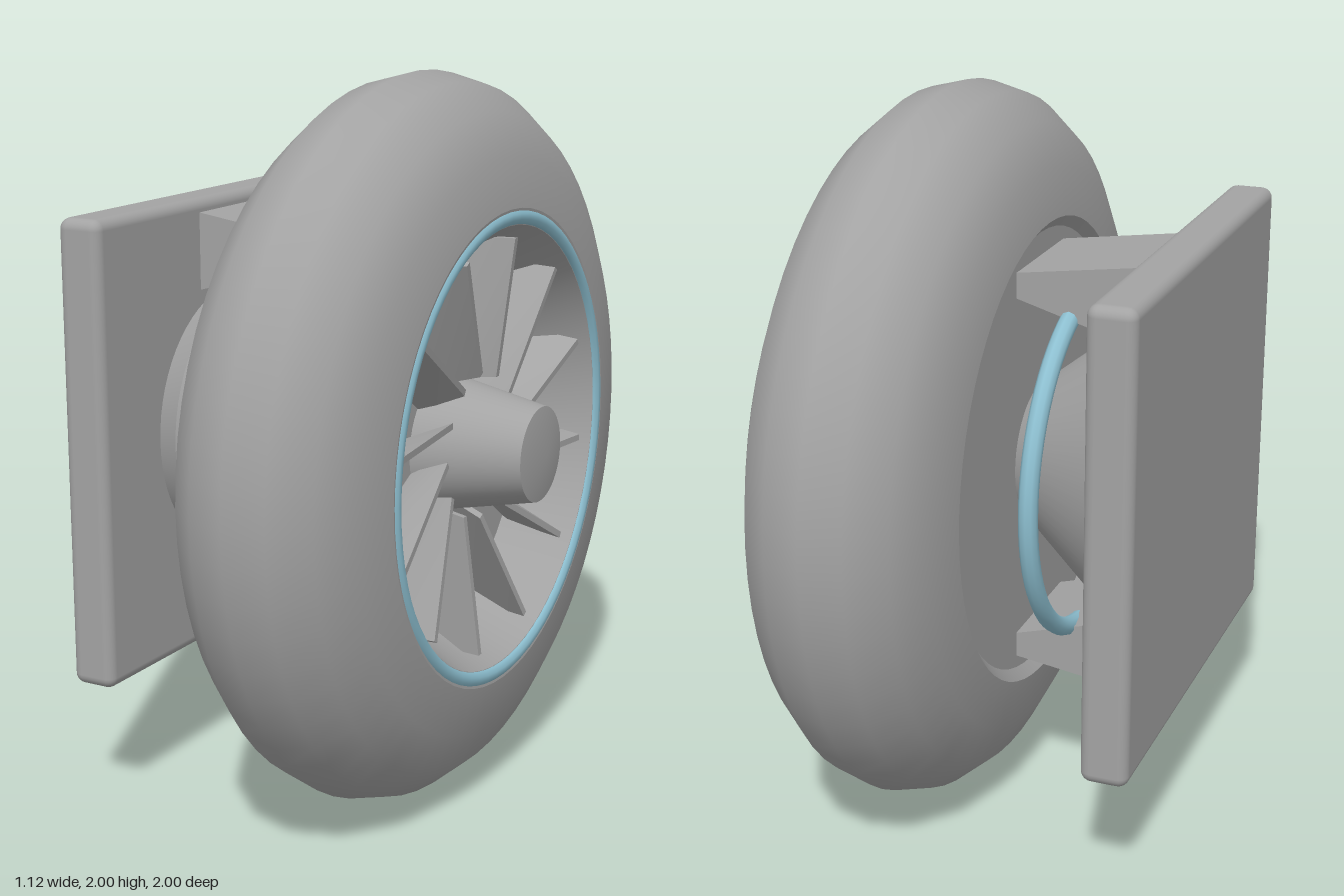
import * as THREE from 'three';
import { toCreasedNormals } from 'three/addons/utils/BufferGeometryUtils.js';
import { RoundedBoxGeometry } from 'three/addons/geometries/RoundedBoxGeometry.js';

export function createModel() {
  const model = new THREE.Group();
  const grey = new THREE.MeshStandardMaterial({ color: 0xa3a3a3 });
  grey.name = 'grey';
  const blue = new THREE.MeshStandardMaterial({ color: 0x8dbfd0 });
  blue.name = 'lightBlue';

  // everything is laid out around the axle, which runs along x
  const wheel = new THREE.Group();
  wheel.name = 'wheelAssembly';
  wheel.position.y = 1;
  model.add(wheel);

  const add = (name, geometry, material = grey) => {
    const mesh = new THREE.Mesh(geometry, material);
    mesh.name = name;
    wheel.add(mesh);
    return mesh;
  };
  // turned part: profile of [x along axle, radius], from back to front
  const turned = (name, profile, segments = 64) => {
    const g = new THREE.LatheGeometry(profile.map(([x, r]) => new THREE.Vector2(r, x)), segments);
    g.rotateZ(-Math.PI / 2);
    return add(name, toCreasedNormals(g, 0.6));
  };
  const ring = (name, x, radius, tube) => {
    const g = new THREE.TorusGeometry(radius, tube, 10, 72);
    g.rotateY(Math.PI / 2);
    g.translate(x, 0, 0);
    return add(name, g, blue);
  };

  // tyre: half-elliptical section
  const section = [];
  for (let i = 0; i <= 8; i++) {
    const a = (i / 8) * Math.PI;
    section.push([0.163 - 0.275 * Math.cos(a), 0.65 + 0.35 * Math.sin(a)]);
  }
  turned('tyre', section);

  // rim: closed back and dished front
  turned('rimBack', [[-0.085, 0], [-0.085, 0.62], [-0.112, 0.65]]);
  turned('rimDish', [[0.438, 0.65], [0.43, 0.605], [0.24, 0.51], [0.24, 0]]);
  ring('frontTrimRing', 0.42, 0.627, 0.024);

  // hub nose
  turned('hub', [[0.23, 0.193], [0.535, 0.13], [0.555, 0]], 48);

  // twelve slanted blades, each wider towards the rim
  const blades = 12;
  for (let k = 0; k < blades; k++) {
    const g = new THREE.BoxGeometry(1, 1, 1);
    const p = g.attributes.position;
    for (let i = 0; i < p.count; i++) {
      const front = p.getX(i) > 0;
      const tip = p.getY(i) > 0;
      const x = front ? (tip ? 0.41 : 0.36) : 0.24;
      const offset = front ? 0.095 : (tip ? 0.07 : 0.04);
      p.setXYZ(i, x, tip ? 0.56 : 0.175, -offset + p.getZ(i) * 0.018);
    }
    g.computeVertexNormals();
    add('blade', g).rotation.x = (k / blades) * Math.PI * 2;
  }

  // rear cone and its trim ring
  turned('rearCone', [[-0.43, 0], [-0.43, 0.38], [-0.36, 0.41], [-0.11, 0.21], [-0.08, 0.186]]);
  ring('rearTrimRing', -0.23, 0.475, 0.026);

  // tapered struts above and below the axle
  for (const side of [1, -1]) {
    const outline = [[-0.42, 0.39], [-0.08, 0.488], [-0.08, 0.556], [-0.42, 0.605]];
    const shape = new THREE.Shape(outline.map(([x, y]) => new THREE.Vector2(x, y * side)));
    const g = new THREE.ExtrudeGeometry(shape, { depth: 0.36, bevelEnabled: false });
    g.translate(0, 0, -0.18);
    add(side > 0 ? 'upperStrut' : 'lowerStrut', g);
  }

  // mounting plate
  add('mountingPlate', new RoundedBoxGeometry(0.13, 1.28, 1.28, 3, 0.03)).position.x = -0.495;

  return model;
}
